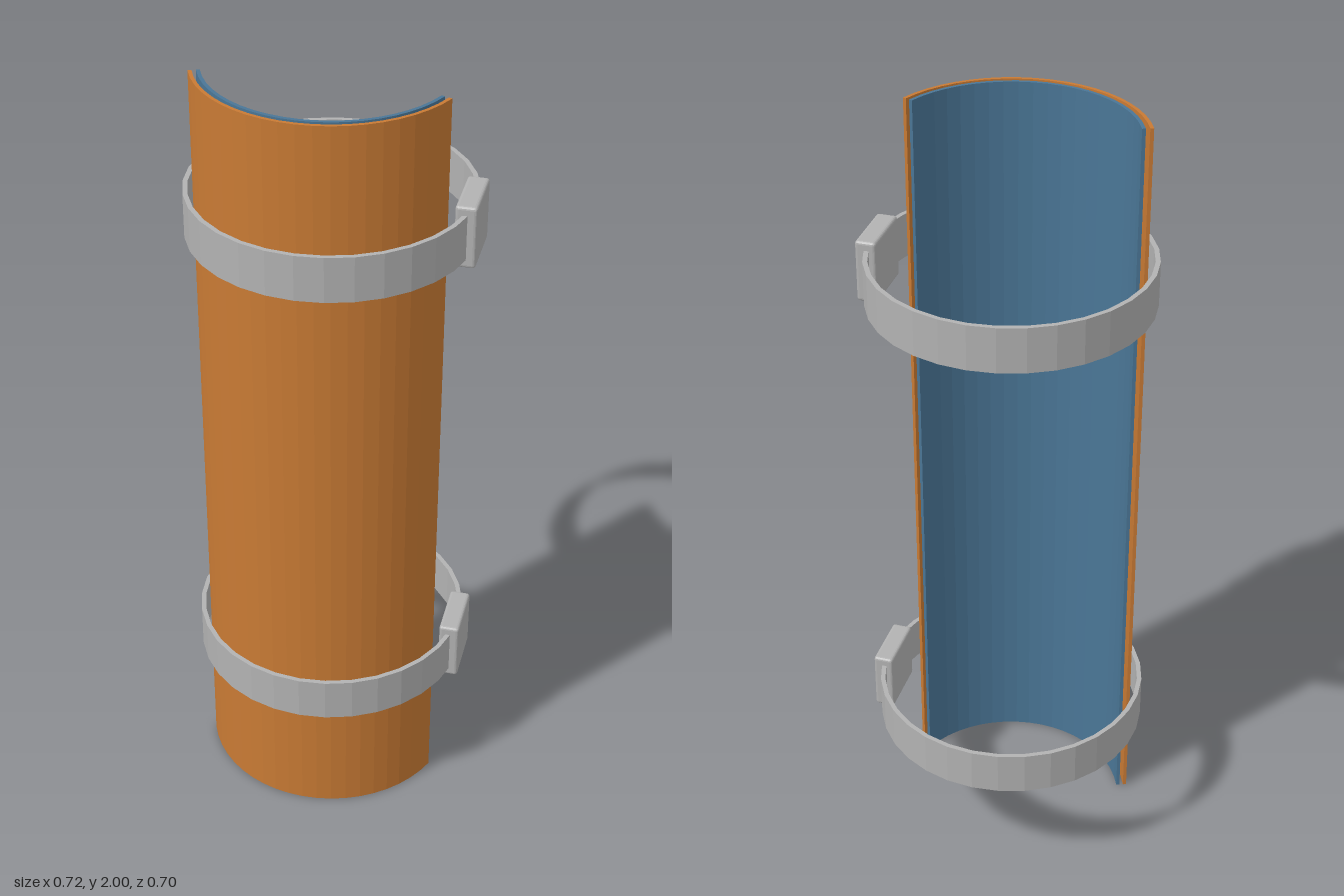
import * as THREE from 'three';
import { RoundedBoxGeometry } from 'three/addons/geometries/RoundedBoxGeometry.js';

const AXIS_X = -0.0075; // common axis of the shells and bands

// Annular sector (angle measured from +x toward +z), standing from y0 up
function arcWall(inner, outer, start, end, segments, y0, height) {
  const points = [];
  const add = (r, t) => points.push(new THREE.Vector2(r * Math.cos(t), r * Math.sin(t)));
  for (let i = 0; i <= segments; i++) add(outer, start + (end - start) * i / segments);
  for (let i = segments; i >= 0; i--) add(inner, start + (end - start) * i / segments);
  const geometry = new THREE.ExtrudeGeometry(new THREE.Shape(points), { depth: height, bevelEnabled: false });
  return geometry.rotateX(Math.PI / 2).translate(AXIS_X, y0 + height, 0);
}

// Closed faceted band with a rectangular section
function band(inner, outer, height) {
  const h = height / 2;
  const section = [[inner, -h], [outer, -h], [outer, h], [inner, h], [inner, -h]]
    .map(([r, y]) => new THREE.Vector2(r, y));
  return new THREE.LatheGeometry(section, 32).translate(AXIS_X, 0, 0);
}

export function createModel() {
  const model = new THREE.Group();
  model.name = 'clampedHalfPipe';

  const copper = new THREE.MeshStandardMaterial({ color: 0xc87a34 });
  copper.name = 'copperOrange';
  const blue = new THREE.MeshStandardMaterial({ color: 0x4a7696 });
  blue.name = 'steelBlue';
  const grey = new THREE.MeshStandardMaterial({ color: 0xb2b2b2 });
  grey.name = 'clampGrey';
  for (const m of [copper, blue, grey]) m.flatShading = true;

  const add = (parent, name, geometry, material) => {
    const mesh = new THREE.Mesh(geometry, material);
    mesh.name = name;
    parent.add(mesh);
  };

  // Two nested shells, open toward the back
  const start = Math.PI * 0.12, end = Math.PI * 0.88;
  add(model, 'outerShell', arcWall(0.318, 0.327, start, end, 20, 0, 2), copper);
  add(model, 'innerShell', arcWall(0.299, 0.308, start, end, 20, 0, 2), blue);

  // Lower and upper clamps, each with a buckle on the left
  for (const [name, y] of [['lowerClamp', 0.376], ['upperClamp', 1.632]]) {
    const clamp = new THREE.Group();
    clamp.name = name;
    clamp.position.y = y;
    add(clamp, 'band', band(0.34, 0.352, 0.116), grey);
    add(clamp, 'buckle', new RoundedBoxGeometry(0.053, 0.16, 0.16, 2, 0.008).translate(0.331, 0, 0), grey);
    model.add(clamp);
  }
  return model;
}
